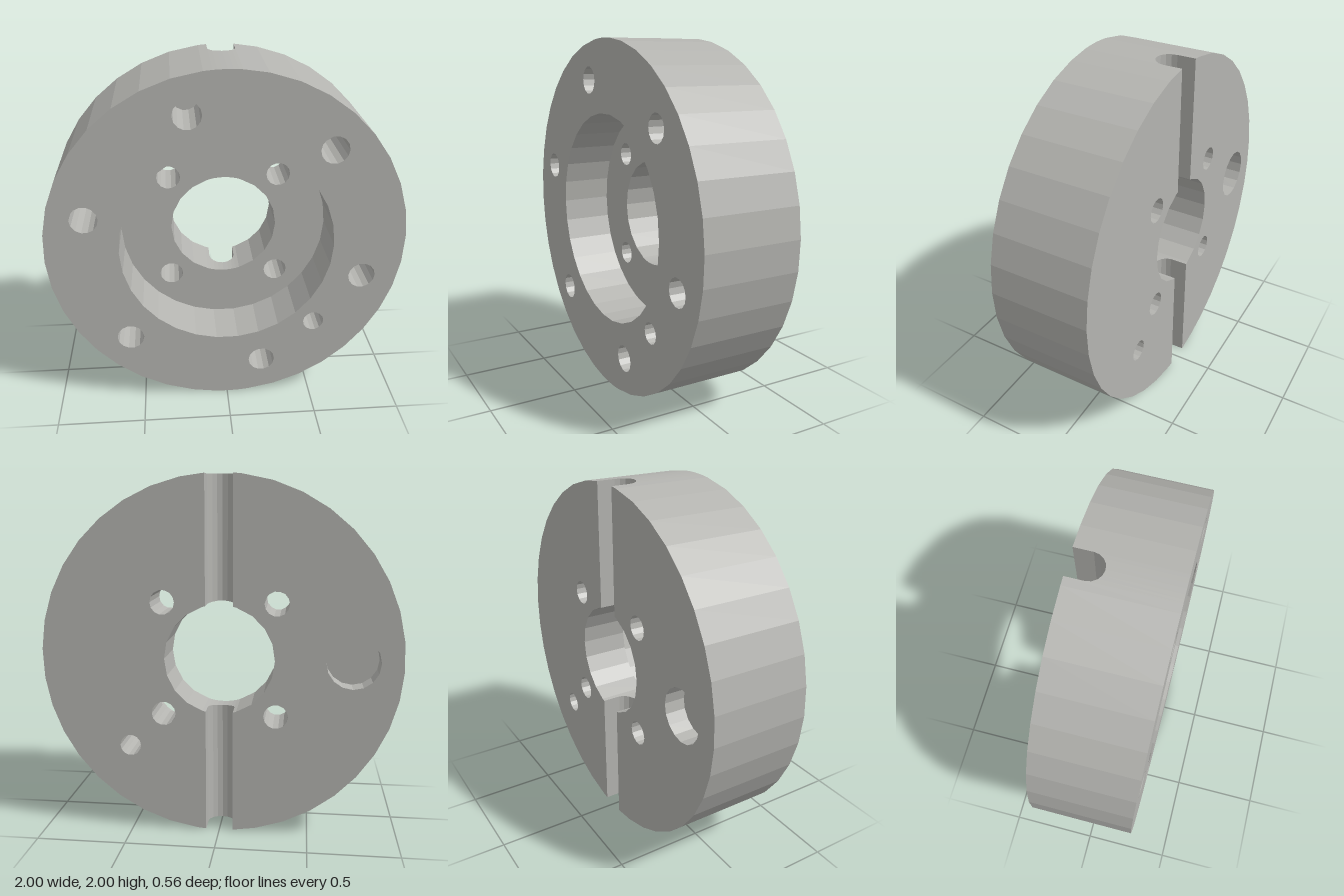
import * as THREE from 'three';

const FRONT = 0.278, BACK = -0.278, FLOOR = -0.012;   // main z levels
const SLOT = 0.076, SLOT_Z = -0.176;                  // slot half width, centre of its round bottom
const R_OUT = 1, R_RECESS = 0.596, R_BORE = 0.306;
const STEPS = 8;

const slotX = Array.from({ length: STEPS + 1 }, (_, i) => SLOT * Math.cos(Math.PI * i / STEPS));
const slotZ = x => SLOT_Z + Math.sqrt(Math.max(0, SLOT * SLOT - x * x));
const chordY = (r, x) => Math.sqrt(r * r - x * x);

// Counter-clockwise circle of points
function ring(r, n, cx = 0, cy = 0, turn = 0) {
  return Array.from({ length: n }, (_, i) => {
    const a = turn + i * 2 * Math.PI / n;
    return new THREE.Vector2(cx + r * Math.cos(a), cy + r * Math.sin(a));
  });
}

// Circle whose points follow the slot profile where the slot crosses it
function notchedRing(r, n, turn) {
  const pts = ring(r, n, 0, 0, turn).filter(p => Math.abs(p.x) > SLOT + 0.005);
  for (const x of slotX) for (const s of [1, -1]) pts.push(new THREE.Vector2(x, s * chordY(r, x)));
  return pts.sort((p, q) => Math.atan2(p.y, p.x) - Math.atan2(q.y, q.x));
}

// Flat-shaded surface from quads of four [x, y, z] corners
function quads(list) {
  const pos = list.flatMap(([a, b, c, d]) => [a, b, c, a, c, d].flat());
  const g = new THREE.BufferGeometry();
  g.setAttribute('position', new THREE.Float32BufferAttribute(pos, 3));
  g.computeVertexNormals();
  return g;
}

// Wall along a closed loop; slotted walls stop at the slot surface
function wall(loop, z0, z1, inward = false, slotted = false) {
  const pts = inward ? [...loop].reverse() : loop;
  return quads(pts.map((a, i) => {
    const b = pts[(i + 1) % pts.length];
    const cut = slotted && Math.abs(a.x + b.x) / 2 < SLOT - 1e-5;
    const za = cut ? slotZ(a.x) : z0, zb = cut ? slotZ(b.x) : z0;
    return [[a.x, a.y, za], [b.x, b.y, zb], [b.x, b.y, z1], [a.x, a.y, z1]];
  }));
}

// Flat face with holes, facing +z or -z
function face(loop, holes, z, facing = 1) {
  const shape = new THREE.Shape(loop);
  shape.holes = holes.map(h => new THREE.Path(h));
  const g = new THREE.ShapeGeometry(shape);
  if (facing < 0) g.index.array.reverse();
  g.computeVertexNormals();
  return g.translate(0, 0, z);
}

export function createModel() {
  const group = new THREE.Group();
  const steel = new THREE.MeshStandardMaterial({ color: 0xb4b4b0 });
  steel.name = 'steel grey';
  const add = (name, geometry) => {
    const mesh = new THREE.Mesh(geometry, steel);
    mesh.name = name;
    mesh.position.y = 1;
    group.add(mesh);
  };

  // Outlines
  const outer = notchedRing(R_OUT, 38, 0.04);
  const bore = notchedRing(R_BORE, 20, 0);
  const recess = ring(R_RECESS, 30);
  const bolts = [[1, 1], [-1, 1], [-1, -1], [1, -1]].map(([x, y]) => ring(0.068, 14, x * 0.314, y * 0.314));
  const pin = ring(0.06, 14, 0.508, -0.508);
  const pocket = ring(0.147, 16, -0.73, 0);
  const blind = Array.from({ length: 6 }, (_, i) => {
    const a = Math.PI / 4 + i * Math.PI / 3;
    return ring(0.077, 14, 0.797 * Math.cos(a), 0.797 * Math.sin(a));
  });

  // Body
  add('rim', wall(outer, BACK, FRONT, false, true));
  add('frontFace', face(outer, [recess, pin, ...blind], FRONT));
  add('recessWall', wall(recess, FLOOR, FRONT, true));
  add('recessFloor', face(recess, [bore, ...bolts], FLOOR));
  add('boreWall', wall(bore, BACK, FLOOR, true, true));

  // Back face, one half on each side of the slot
  for (const s of [1, -1]) {
    const side = pts => pts.filter(p => s * p.x > SLOT - 1e-5).sort((p, q) => p.y - q.y);
    const holes = bolts.filter(b => s * b[0].x > 0).concat([s > 0 ? pin : pocket]);
    add(s > 0 ? 'backFaceLeft' : 'backFaceRight',
      face([...side(outer), ...side(bore).reverse()], holes, BACK, -1));
  }

  // Round-bottomed slot above and below the bore
  const profile = [[SLOT, BACK], ...slotX.map(x => [x, slotZ(x)]), [-SLOT, BACK]];
  for (const s of [1, -1]) {
    const [rLow, rHigh] = s > 0 ? [R_BORE, R_OUT] : [R_OUT, R_BORE];
    const at = ([x, z], r) => [x, s * chordY(r, x), z];
    add(s > 0 ? 'upperSlot' : 'lowerSlot', quads(profile.slice(1).map((q, i) => {
      const p = profile[i];
      return [at(p, rLow), at(q, rLow), at(q, rHigh), at(p, rHigh)];
    })));
  }

  // Through holes
  bolts.forEach(b => add('boltHole', wall(b, BACK, FLOOR, true)));
  add('pinHole', wall(pin, BACK, FRONT, true));

  // Blind holes in the front and the shallow pocket in the back
  for (const b of blind) {
    add('blindHoleWall', wall(b, FRONT - 0.33, FRONT, true));
    add('blindHoleFloor', face(b, [], FRONT - 0.33));
  }
  add('pocketWall', wall(pocket, BACK, BACK + 0.115, true));
  add('pocketFloor', face(pocket, [], BACK + 0.115, -1));

  return group;
}
